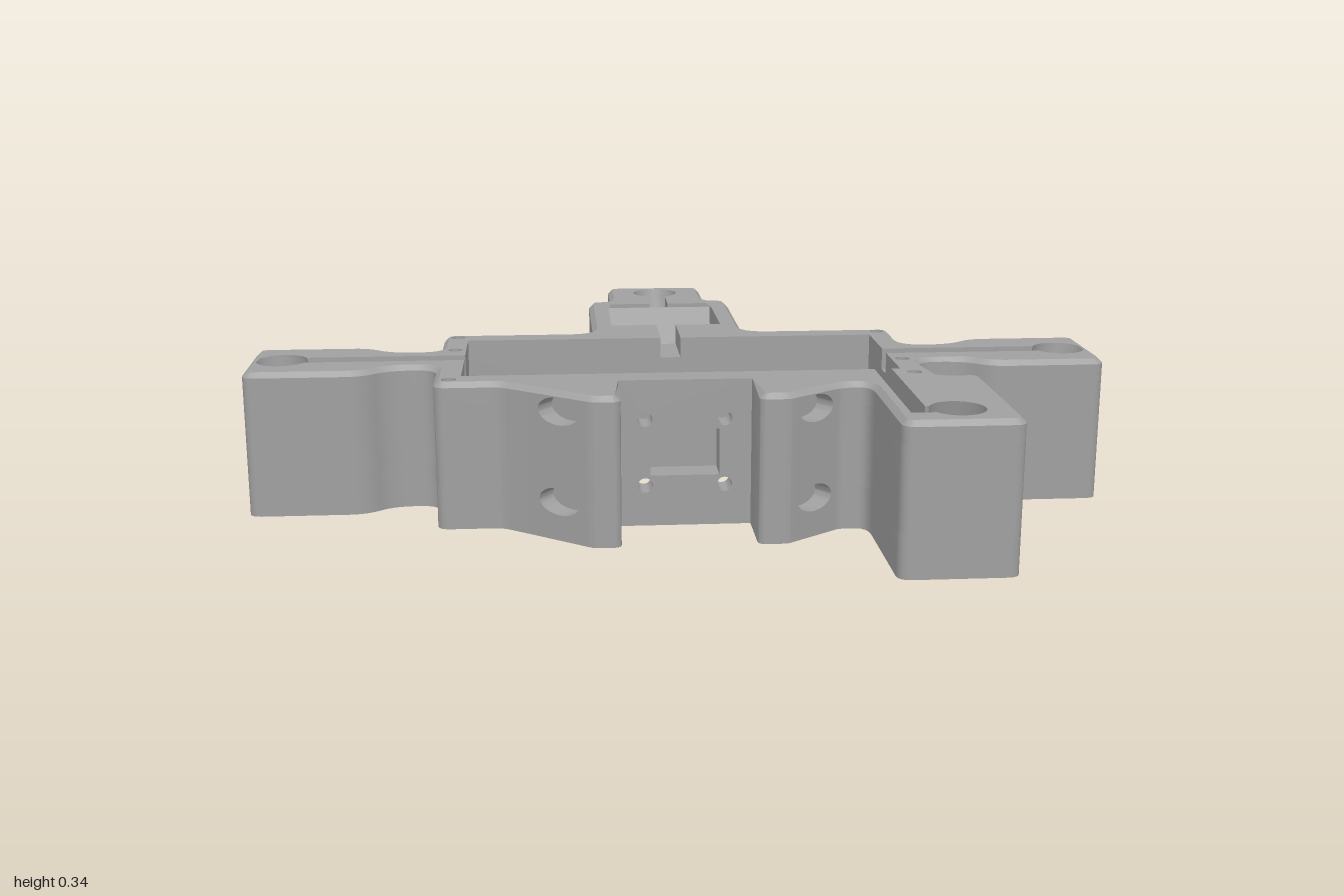
import * as THREE from 'three';
import { toCreasedNormals } from 'three/addons/utils/BufferGeometryUtils.js';

const H = 0.34, CHAMFER = 0.012, BORE = 0.06, LEAN = 0.09;
const V = (x, z) => new THREE.Vector2(x, z);
const grey = new THREE.MeshStandardMaterial({ color: 0xa0a0a0 });
grey.name = 'grey';

// Leaning bores: top centre and the direction they drift towards at the bottom
const bores = [
  [0, -0.695, 0, 1], [0.925, 0.11, -1, 0], [-0.925, 0.11, 1, 0], [0.545, 0.67, 0, -1],
];
const boreAt = ([x, z, dx, dz], y) => V(x + dx * LEAN * (1 - y / H), z + dz * LEAN * (1 - y / H));

// A stretch of wall that is notched and refilled with a drilled panel
const drill = (ax, az, bx, bz, ys, rx, ry, depth) => ({ a: V(ax, az), b: V(bx, bz), ys, rx, ry, depth });

// Right half of the rear block and side arm, as corners [x, z, radius]
const half = [
  [0.13, -0.78, 0.03],
  drill(0.13, -0.68, 0.13, -0.63, [0.17], 0.013, 0.013, 0.03),
  [0.13, -0.575, 0.05], [0.19, -0.575, 0.04], [0.19, -0.15, 0.06], [0.56, -0.15, 0.03],
  [0.56, 0.035, 0.05], [0.67, 0.035, 0.05], [0.73, -0.02, 0.04], [1, -0.02, 0.03],
  [1, 0.24, 0.03], [0.73, 0.24, 0.04], [0.67, 0.185, 0.05], [0.56, 0.185, 0.05],
];
const mirror = (list) => list.map((c) => (c.a
  ? { ...c, a: V(-c.b.x, c.b.y), b: V(-c.a.x, c.a.y) }
  : [-c[0], c[1], c[2]])).reverse();

const outline = [
  ...half,
  // front foot
  [0.56, 0.365, 0.05], [0.67, 0.365, 0.03],
  drill(0.67, 0.425, 0.67, 0.535, [0.085, 0.295], 0.032, 0.032, 0.05),
  drill(0.67, 0.61, 0.67, 0.67, [0.17], 0.013, 0.013, 0.03),
  [0.67, 0.77, 0.03], [0.41, 0.77, 0.03],
  // right bracket
  [0.41, 0.425, 0.05], [0.345, 0.425, 0.03],
  drill(0.332, 0.4345, 0.228, 0.5105, [0.09, 0.295], 0.052, 0.031, 0.05),
  [0.215, 0.52, 0.02], [0.15, 0.52, 0.02], [0.15, 0.37, 0],
  null, // inner edge goes here
  // left bracket
  [-0.15, 0.37, 0], [-0.15, 0.52, 0.02], [-0.21, 0.52, 0.02],
  drill(-0.225, 0.509, -0.345, 0.416, [0.09, 0.295], 0.055, 0.031, 0.05),
  [-0.413, 0.365, 0.02], [-0.56, 0.365, 0.03],
  ...mirror(half),
];

function arc(x, z, from, to) {
  return Array.from({ length: 29 }, (_, i) => {
    const t = THREE.MathUtils.degToRad(from + (to - from) * i / 28);
    return V(x + BORE * Math.cos(t), z + BORE * Math.sin(t));
  });
}
const plainInner = [V(0.15, 0.3), V(0.5, 0.3), V(0.5, -0.08), V(-0.5, -0.08), V(-0.5, 0.3), V(-0.15, 0.3)];
// Inner edge with cable channels running into the bores and rear pocket
const slottedInner = [
  V(0.15, 0.3), V(0.44, 0.3), V(0.44, 0.7), ...arc(0.545, 0.67, 150, -160), V(0.48, 0.65), V(0.48, 0.3), V(0.5, 0.3),
  V(0.5, 0.135), ...arc(0.925, 0.11, 155, -155), V(0.5, 0.085), V(0.5, -0.08),
  V(0.025, -0.08), V(0.025, -0.24), V(0.14, -0.24), V(0.14, -0.53), V(0.025, -0.53),
  ...arc(0, -0.695, 65, -245),
  V(-0.025, -0.53), V(-0.14, -0.53), V(-0.14, -0.24), V(-0.025, -0.24), V(-0.025, -0.08),
  V(-0.5, -0.08), V(-0.5, 0.085), ...arc(-0.925, 0.11, -25, -335), V(-0.5, 0.135), V(-0.5, 0.3), V(-0.15, 0.3),
];

// Rounds corners and expands notches; records points that take the chamfer
function contour(inner, notched, chamfered) {
  const items = notched ? outline : outline.filter((c) => !c || !c.a);
  const raw = items.flatMap((c) => {
    if (!c) return inner.map((p) => ({ p, r: 0 }));
    if (!c.a) return [{ p: V(c[0], c[1]), r: c[2] }];
    const u = c.b.clone().sub(c.a).normalize(), n = V(-u.y, u.x).multiplyScalar(c.depth);
    return [c.a, c.a.clone().add(n), c.b.clone().add(n), c.b].map((p) => ({ p, r: 0 }));
  });
  const pts = [];
  raw.forEach(({ p, r }, i) => {
    if (!r) { pts.push(p); return; }
    const prev = raw[(i + raw.length - 1) % raw.length].p, next = raw[(i + 1) % raw.length].p;
    const step = (q) => p.clone().add(q.clone().sub(p).setLength(Math.min(r, p.distanceTo(q) * 0.48)));
    const round = new THREE.QuadraticBezierCurve(step(prev), p, step(next)).getPoints(6);
    round.forEach((q) => chamfered.add(q));
    pts.push(...round);
  });
  return pts;
}
const circle = (x, z, r, n = 28) => new THREE.Path(Array.from({ length: n }, (_, i) =>
  V(x + r * Math.cos(i / n * 2 * Math.PI), z + r * Math.sin(i / n * 2 * Math.PI))));
const rect = (x0, z0, x1, z1, Type = THREE.Path) => new Type([V(x0, z0), V(x1, z0), V(x1, z1), V(x0, z1)]);
const extrude = (shape, depth) => new THREE.ExtrudeGeometry(shape, { depth, bevelEnabled: false, curveSegments: 20 });
const flatSlab = (shape, y0, y1) => extrude(shape, y1 - y0).rotateX(Math.PI / 2).translate(0, y1, 0);

// One horizontal slice of the body
function slice(y0, y1, inner, holes, { ref = H, notched = true, chamfer = false } = {}) {
  const edge = new Set(), pts = contour(inner, notched, edge);
  const shape = new THREE.Shape(pts);
  shape.holes.push(...holes);
  const geo = flatSlab(shape, y0, y1), pos = geo.attributes.position;
  const key = (x, z) => `${x.toFixed(4)},${z.toFixed(4)}`, inset = new Map();
  if (chamfer) pts.forEach((p, i) => {
    if (!edge.has(p)) return;
    const d = pts[(i + 1) % pts.length].clone().sub(pts[(i + pts.length - 1) % pts.length]).normalize();
    inset.set(key(p.x, p.y), V(-d.y, d.x).multiplyScalar(CHAMFER));
  });
  for (let i = 0; i < pos.count; i++) {
    const p = V(pos.getX(i), pos.getZ(i)), y = pos.getY(i);
    const bore = bores.find((b) => boreAt(b, ref).distanceTo(p) < BORE + 0.0015);
    const cut = y > y1 - 0.001 && inset.get(key(p.x, p.y));
    if (bore) p.add(boreAt(bore, y)).sub(boreAt(bore, ref));
    if (cut) p.add(cut);
    pos.setXYZ(i, p.x, y, p.y);
  }
  return geo;
}

export function createModel() {
  const group = new THREE.Group();
  const add = (name, geo) => {
    const mesh = new THREE.Mesh(toCreasedNormals(geo, 0.5), grey);
    mesh.name = name;
    group.add(mesh);
    return mesh;
  };

  // Body slices: floor, walls, channel layer, chamfered rim
  const boreHoles = (y) => bores.map((b) => { const c = boreAt(b, y); return circle(c.x, c.y, BORE); });
  const screws = () => [[-0.526, -0.12], [0.526, -0.12], [-0.526, 0.025], [0.526, 0.195], [-0.526, 0.333], [0.526, 0.333]]
    .map(([x, z]) => circle(x, z, 0.017, 14));
  const pocket = () => rect(-0.14, -0.53, 0.14, -0.24);
  add('bodyFloor', slice(0, 0.1, plainInner,
    [...boreHoles(0), ...screws(), circle(0, -0.12, 0.017, 14), circle(0, -0.33, 0.083, 36)], { ref: 0 }));
  add('bodyWalls', slice(0.1, 0.29, plainInner, [...boreHoles(0.29), pocket()], { ref: 0.29 }));
  add('channelLayer', slice(0.29, H - CHAMFER, slottedInner, screws()));
  add('topRim', slice(H - CHAMFER, H, slottedInner, screws(), { notched: false, chamfer: true }));

  // Drilled panels filling the notches
  outline.filter((c) => c && c.a).forEach((c) => {
    const u = c.b.clone().sub(c.a), w = u.length(), h = H - CHAMFER;
    u.normalize();
    const shape = rect(0, 0, w, h, THREE.Shape);
    c.ys.forEach((y) => shape.holes.push(new THREE.Path().absellipse(w / 2, y, c.rx, c.ry, 0, Math.PI * 2)));
    const panel = add('drilledPanel', extrude(shape, c.depth));
    panel.rotation.y = Math.atan2(-u.y, u.x);
    panel.position.set(c.a.x, 0, c.a.y);
  });

  // Front wall with a window and four screw holes
  const wall = rect(-0.15, 0, 0.15, H, THREE.Shape);
  wall.holes.push(rect(-0.078, 0.118, 0.078, 0.225));
  for (const x of [-0.09, 0.09]) for (const y of [0.095, 0.249]) wall.holes.push(circle(x, y, 0.017, 16));
  add('frontWall', extrude(wall, 0.07).translate(0, 0, 0.3));

  // Stepped seat inside the rear pocket
  const seat = new THREE.Shape([V(-0.53, 0.1), V(-0.41, 0.1), V(-0.435, 0.22), V(-0.49, 0.22), V(-0.528, 0.33), V(-0.53, 0.33)]);
  add('pocketSeat', extrude(seat, 0.28).rotateY(-Math.PI / 2).translate(0.14, 0, 0));

  // Low diagonal struts from the rear block to the arms
  for (const s of [1, -1]) {
    const strut = [[0.17, -0.476], [0.75, -0.004], [0.75, 0.06], [0.66, 0.04], [0.17, -0.36]];
    add('diagonalStrut', flatSlab(new THREE.Shape(strut.map(([x, z]) => V(s * x, z))), 0, 0.19));
  }
  return group;
}
